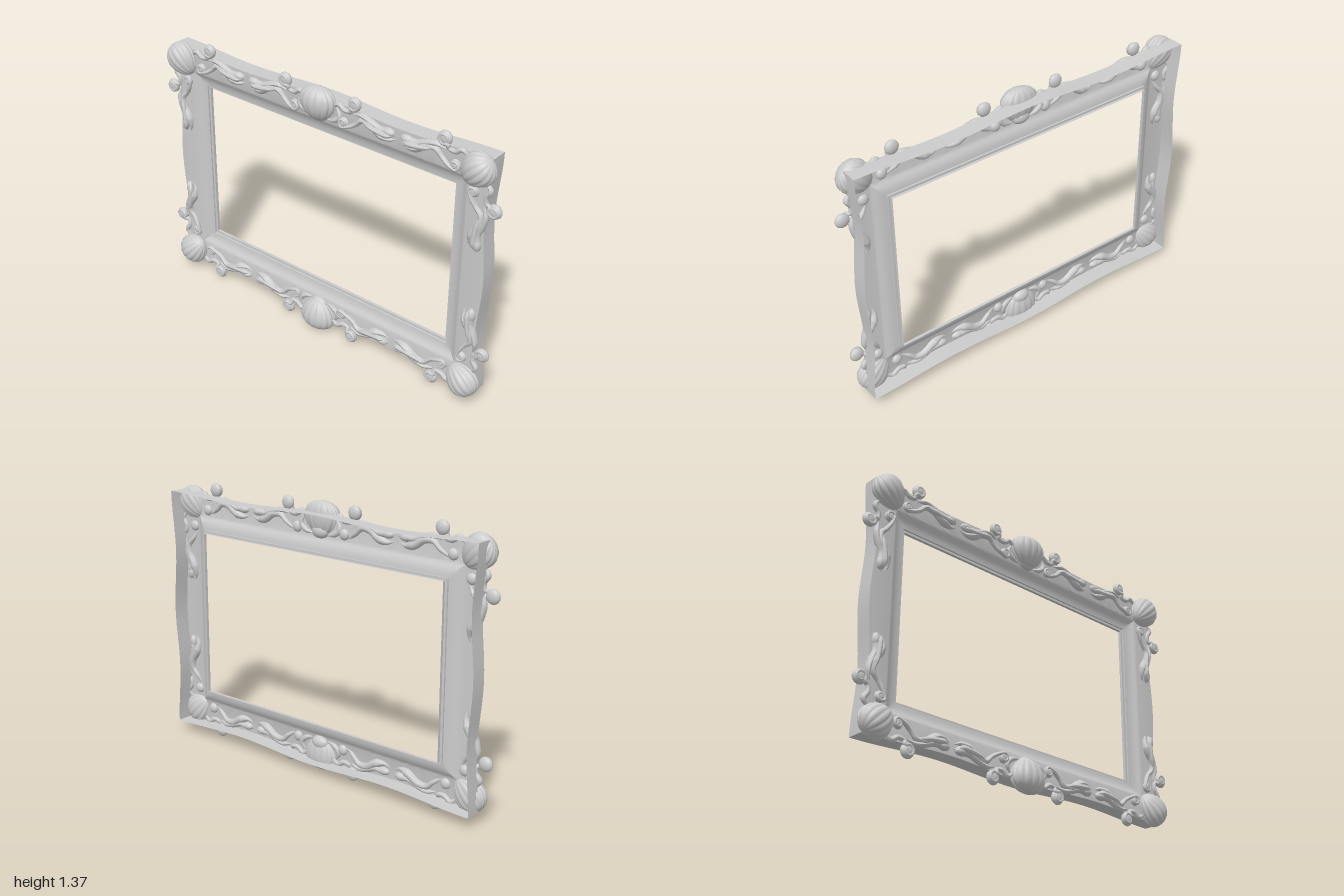
import * as THREE from 'three';
import { mergeGeometries, toCreasedNormals } from 'three/addons/utils/BufferGeometryUtils.js';

const material = new THREE.MeshStandardMaterial({ color: 0xcccccc, side: THREE.DoubleSide });
const MID = 0.685; // height of the frame's centre

// Copies a geometry through a matrix, turning the faces round if it mirrors
function placed(geometry, matrix) {
  const g = geometry.clone().applyMatrix4(matrix);
  if (matrix.determinant() < 0) {
    const idx = g.index.array;
    for (let i = 0; i < idx.length; i += 3) [idx[i], idx[i + 1]] = [idx[i + 1], idx[i]];
  }
  return g;
}

// In-plane matrix: columns are the images of the local a and b axes
const plane = (ax, ay, bx, by, x, y) => new THREE.Matrix4().set(
  ax, bx, 0, x, ay, by, 0, y, 0, 0, 1, 0, 0, 0, 0, 1);

// Rounded strand along [x, y, z] points, its radius interpolated from a list
function strand(points, radii, depth = 1) {
  const curve = new THREE.CatmullRomCurve3(points.map(([x, y, z = 0]) => new THREE.Vector3(x, y, z)));
  const segments = points.length * 4, sides = 10;
  const g = new THREE.TubeGeometry(curve, segments, 1, sides);
  const pos = g.attributes.position, v = new THREE.Vector3();
  for (let i = 0; i <= segments; i++) {
    const t = i / segments, c = curve.getPointAt(t);
    const k = t * (radii.length - 1), j = Math.min(Math.floor(k), radii.length - 2);
    const r = THREE.MathUtils.lerp(radii[j], radii[j + 1], k - j);
    for (let s = 0; s <= sides; s++) {
      const n = i * (sides + 1) + s;
      v.fromBufferAttribute(pos, n).sub(c).multiplyScalar(r);
      pos.setXYZ(n, c.x + v.x, c.y + v.y, c.z + v.z * depth);
    }
  }
  g.computeVertexNormals();
  return g;
}

// Points winding inwards round a centre
function spiral(cx, cy, r0, r1, start, turns, z) {
  return Array.from({ length: 13 }, (_, i) => {
    const t = i / 12, a = start + t * turns * Math.PI * 2, r = r0 + (r1 - r0) * t;
    return [cx + r * Math.cos(a), cy + r * Math.sin(a), z];
  });
}

const disc = (x, y, rx, ry, rz, z = 0) =>
  new THREE.SphereGeometry(1, 20, 12).scale(rx, ry, rz).translate(x, y, z);

// One run of scrollwork: a volute at the outer edge and an S-shaped leaf
function scrollwork() {
  return {
    volute: mergeGeometries([
      disc(0.245, 0.088, 0.035, 0.035, 0.02),
      strand([[0.375, 0.03], [0.335, 0.06], [0.30, 0.04], [0.265, 0.045],
        ...spiral(0.245, 0.088, 0.028, 0.005, -0.9, -1.6, 0.01)],
      [0.004, 0.014, 0.012, 0.010, 0.010, 0.009, 0.008]),
    ]),
    leaf: mergeGeometries([
      disc(0.305, -0.022, 0.027, 0.027, 0.018),
      strand([...spiral(0.305, -0.022, 0.022, 0.004, -1.2, 1.4, 0.01).reverse(),
        [0.27, -0.03, 0.008], [0.235, -0.008], [0.20, 0.022], [0.15, 0.02],
        [0.10, -0.01], [0.05, -0.022], [0.015, -0.012]],
      [0.006, 0.008, 0.009, 0.013, 0.019, 0.022, 0.001], 1.15),
      strand([[0.25, 0.036], [0.20, 0.046], [0.15, 0.034], [0.10, 0.016], [0.06, 0.018], [0.02, 0.03]],
        [0.003, 0.013, 0.015, 0.015, 0.016, 0.001], 1.25),
      strand([[0.20, 0.025, 0.012], [0.15, 0.012, 0.016], [0.10, 0.004, 0.016], [0.05, 0.002, 0.014], [0.01, 0.012]],
        [0.002, 0.011, 0.014, 0.015, 0.001]),
      disc(0.05, 0.016, 0.034, 0.02, 0.022, 0.002),
    ]),
  };
}

// Ribbed shell with its broad end towards +y
function shell(width, height, front, back, ribs) {
  const g = new THREE.SphereGeometry(1, 96, 28);
  const pos = g.attributes.position;
  for (let i = 0; i < pos.count; i++) {
    const x = pos.getX(i), y = pos.getY(i), z = pos.getZ(i);
    const rib = 0.89 + 0.11 * Math.sqrt(Math.abs(Math.cos(Math.atan2(x, z) * ribs / 2)));
    const k = rib * (0.95 + 0.16 * y);
    pos.setXYZ(i, x * k * width, y * height, z * k * (z > 0 ? front : back));
  }
  g.computeVertexNormals();
  return g;
}

// Moulded frame, open at the back, with a gently waving outer edge
function frameBody() {
  // distance from the opening and depth; the last two rows are the outer wall
  const profile = [[0, -0.05], [0, -0.035], [0.012, -0.035], [0.012, -0.026],
    [0.03, -0.024], [0.05, -0.018], [0.065, -0.009], [0.075, -0.002], [0.082, 0]];
  const steps = 48, parts = [];
  const wave = (u) => 0.010 * Math.cos(u * Math.PI * 2);
  for (let side = 0; side < 4; side++) {
    const level = side % 2 === 0;
    const [iw, ih] = level ? [0.74, 0.425] : [0.425, 0.74];
    const [ow, oh] = level ? [0.937, 0.617] : [0.627, 0.927];
    const rows = profile.length + 2, verts = [], index = [];
    for (let i = 0; i <= steps; i++) {
      const u = i / steps * 2 - 1;
      for (const [d, z] of profile) verts.push(u * (iw + d), ih + d, z);
      for (const z of [0, -0.085]) verts.push(u * ow, oh + wave(u), z);
      if (i === steps) continue;
      for (let j = 0; j < rows - 1; j++) {
        const a = i * rows + j, b = a + rows;
        index.push(a, b, a + 1, b, b + 1, a + 1);
      }
    }
    const g = new THREE.BufferGeometry();
    g.setAttribute('position', new THREE.Float32BufferAttribute(verts, 3));
    g.setIndex(index);
    parts.push(g.rotateZ(side * Math.PI / 2));
  }
  return toCreasedNormals(mergeGeometries(parts), 0.6);
}

export function createModel() {
  const model = new THREE.Group();
  model.name = 'ornateFrame';
  const add = (name, geometry) => {
    const mesh = new THREE.Mesh(geometry, material);
    mesh.name = name;
    mesh.position.y = MID;
    model.add(mesh);
  };
  add('frameBody', frameBody());

  const run = scrollwork();
  const runPlaces = {
    outerRail: plane(1, 0, 0, 1, 0.45, 0.56),
    innerRail: plane(-1, 0, 0, 1, 0.45, 0.56),
    stile: plane(0, 1, 1, 0, 0.877, 0.14),
  };
  const cornerShell = shell(0.085, 0.088, 0.07, 0.05, 14)
    .rotateZ(-Math.PI / 4).translate(0.875, 0.562, 0.012);
  const centreShell = shell(0.104, 0.085, 0.07, 0.045, 14).translate(0, 0.595, 0.008);
  // hood and side curls holding the centre shell
  const centreMount = mergeGeometries([
    disc(0, 0.535, 0.05, 0.035, 0.03),
    ...[-1, 1].map((s) => strand([[s * 0.05, 0.52], [s * 0.09, 0.53], [s * 0.12, 0.56], [s * 0.10, 0.60]],
      [0.004, 0.014, 0.014, 0.004])),
  ]);

  for (const sy of [1, -1]) {
    const end = sy > 0 ? 'top' : 'bottom';
    const flip = new THREE.Matrix4().makeScale(1, sy, 1);
    add(`${end}CentreShell`, placed(centreShell, flip));
    add(`${end}CentreMount`, placed(centreMount, flip));
    for (const sx of [1, -1]) {
      const where = end + (sx > 0 ? 'Left' : 'Right');
      const mirror = new THREE.Matrix4().makeScale(sx, sy, 1);
      add(`${where}CornerShell`, placed(cornerShell, mirror));
      for (const [place, matrix] of Object.entries(runPlaces)) {
        const m = mirror.clone().multiply(matrix);
        add(`${where}_${place}_volute`, placed(run.volute, m));
        add(`${where}_${place}_leaf`, placed(run.leaf, m));
      }
    }
  }
  return model;
}
